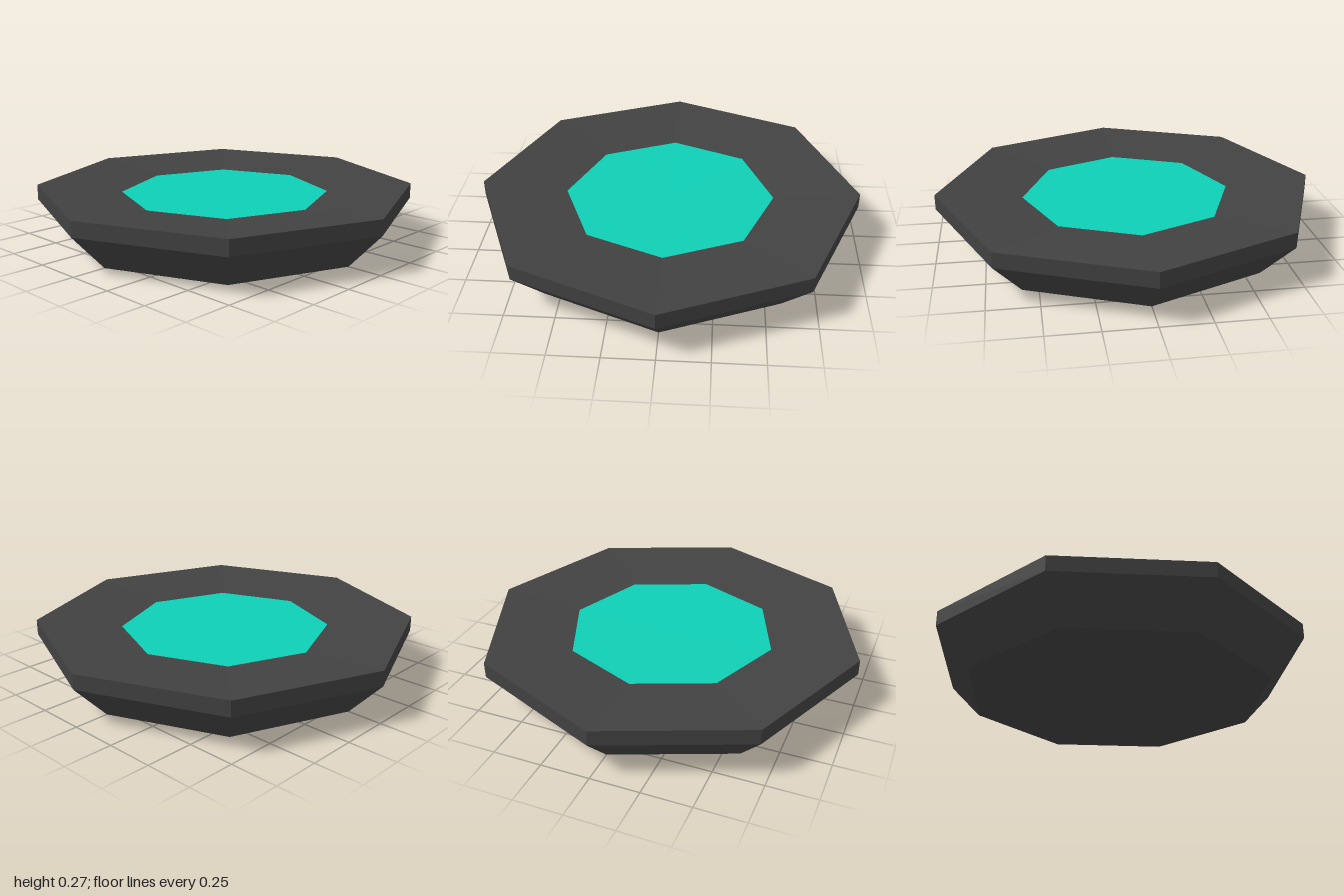
import * as THREE from 'three';

const SIDES = 8;
const BASE_RADIUS = 0.82, RIM_RADIUS = 1, PANEL_RADIUS = 0.55;
const RIM_BOTTOM = 0.19, RIM_TOP = 0.27, PANEL_Y = 0.23;

// Separate the faces so each gets its own flat normal
function faceted(geometry) {
  const flat = geometry.toNonIndexed();
  flat.computeVertexNormals();
  return flat;
}

function addPart(group, name, geometry, material) {
  const mesh = new THREE.Mesh(geometry, material);
  mesh.name = name;
  group.add(mesh);
  return mesh;
}

export function createModel() {
  const group = new THREE.Group();
  group.name = 'octagonalPad';

  const charcoal = new THREE.MeshStandardMaterial({ color: 0x424242 });
  charcoal.name = 'charcoal';
  const teal = new THREE.MeshStandardMaterial({ color: 0x0fcfb6 });
  teal.name = 'teal';

  // Flared underside, upright rim and top ring sloping gently inwards
  const profile = [
    [BASE_RADIUS, 0],
    [RIM_RADIUS, RIM_BOTTOM],
    [RIM_RADIUS, RIM_TOP],
    [PANEL_RADIUS, PANEL_Y],
  ].map(([r, y]) => new THREE.Vector2(r, y));
  addPart(group, 'body', faceted(new THREE.LatheGeometry(profile, SIDES)), charcoal);

  // Flat underside
  const base = new THREE.CircleGeometry(BASE_RADIUS, SIDES).rotateX(Math.PI / 2);
  addPart(group, 'base', base, charcoal);

  // Coloured panel at the bottom of the dish
  const panel = new THREE.CircleGeometry(PANEL_RADIUS, SIDES).rotateX(-Math.PI / 2);
  addPart(group, 'panel', panel, teal).position.y = PANEL_Y;

  return group;
}
